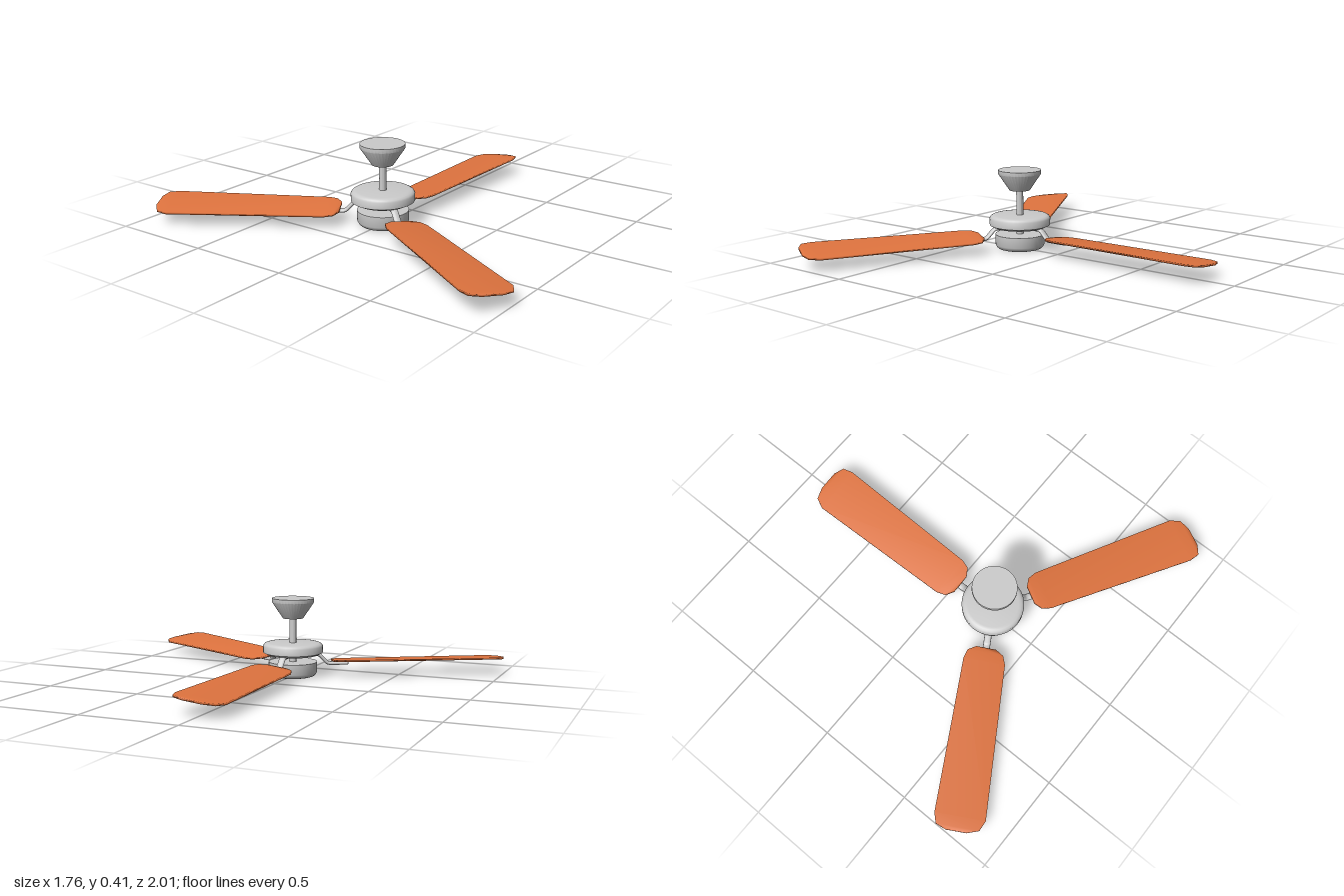
import * as THREE from 'three';
import { toCreasedNormals } from 'three/addons/utils/BufferGeometryUtils.js';

const metal = new THREE.MeshStandardMaterial({ color: 0xcccccc });
const wood = new THREE.MeshStandardMaterial({ color: 0xe0743f });

// Turned part from a bottom-to-top [radius, y] profile
function turned(name, profile) {
  const points = profile.map(([r, y]) => new THREE.Vector2(r, y));
  const mesh = new THREE.Mesh(toCreasedNormals(new THREE.LatheGeometry(points, 40), 0.6), metal);
  mesh.name = name;
  return mesh;
}

// Thin pitched blade along +x, lofted through [radius, back z, front z] stations
function bladeGeometry() {
  const stations = [
    [0.21, -0.05, 0.05], [0.235, -0.09, 0.09], [0.28, -0.106, 0.104],
    [1.05, -0.127, 0.12], [1.1, -0.103, 0.106], [1.12, -0.045, 0.055],
  ];
  const half = 0.005, pitch = 0.11, middle = 0.078;
  const position = [], index = [];
  for (const [r, back, front] of stations) {
    for (const [z, side] of [[back, 1], [front, 1], [front, -1], [back, -1]]) {
      position.push(r, middle + z * pitch + side * half, z);
    }
  }
  const last = (stations.length - 1) * 4;
  for (let s = 0; s < last; s += 4) {
    for (let j = 0; j < 4; j++) {
      const a = s + j, b = s + (j + 1) % 4;
      index.push(a, b, a + 4, b, b + 4, a + 4);
    }
  }
  index.push(0, 2, 1, 0, 3, 2); // root cap
  index.push(last, last + 1, last + 2, last, last + 2, last + 3); // tip cap
  const geometry = new THREE.BufferGeometry();
  geometry.setAttribute('position', new THREE.Float32BufferAttribute(position, 3));
  geometry.setIndex(index);
  geometry.computeVertexNormals();
  return geometry;
}

// Cranked bar from the motor down to the underside of the blade
function armGeometry() {
  const v = (x, y) => new THREE.Vector3(x, y, 0);
  const path = new THREE.CurvePath();
  path.add(new THREE.LineCurve3(v(0.09, 0.112), v(0.125, 0.112)));
  path.add(new THREE.QuadraticBezierCurve3(v(0.125, 0.112), v(0.14, 0.112), v(0.15, 0.1)));
  path.add(new THREE.LineCurve3(v(0.15, 0.1), v(0.175, 0.073)));
  path.add(new THREE.QuadraticBezierCurve3(v(0.175, 0.073), v(0.184, 0.063), v(0.2, 0.063)));
  path.add(new THREE.LineCurve3(v(0.2, 0.063), v(0.29, 0.063)));
  return new THREE.TubeGeometry(path, 28, 0.0095, 12).scale(1, 1, 1.9);
}

export function createModel() {
  const model = new THREE.Group();
  model.name = 'ceilingFan';
  const fan = new THREE.Group();
  fan.name = 'fan';
  fan.position.x = -0.245;
  model.add(fan);

  // Ceiling mount, rod and motor
  fan.add(turned('canopy', [[0, 0.305], [0.053, 0.305], [0.11, 0.39], [0.11, 0.41], [0, 0.41]]));
  fan.add(turned('downRod', [[0.018, 0.07], [0.018, 0.31]]));
  fan.add(turned('motorHousing', [
    [0, 0.113], [0.13, 0.113], [0.156, 0.126], [0.157, 0.16],
    [0.152, 0.169], [0.142, 0.175], [0.128, 0.177], [0, 0.177],
  ]));
  fan.add(turned('lowerCap', [
    [0, 0], [0.098, 0], [0.112, 0.004], [0.121, 0.012], [0.127, 0.024], [0.127, 0.077], [0, 0.077],
  ]));

  // Three identical arms and blades
  const blade = bladeGeometry(), arm = armGeometry();
  for (let i = 0; i < 3; i++) {
    const spoke = new THREE.Group();
    spoke.name = 'bladeAssembly' + (i + 1);
    spoke.rotation.y = i * Math.PI * 2 / 3;

    const armMesh = new THREE.Mesh(arm, metal);
    armMesh.name = 'bladeArm';
    const armEnd = new THREE.Mesh(new THREE.SphereGeometry(0.0095, 12, 8), metal);
    armEnd.name = 'bladeArmEnd';
    armEnd.scale.set(0.4, 1, 1.9);
    armEnd.position.set(0.29, 0.063, 0);
    const bladeMesh = new THREE.Mesh(blade, wood);
    bladeMesh.name = 'blade';

    spoke.add(armMesh, armEnd, bladeMesh);
    fan.add(spoke);
  }
  return model;
}
